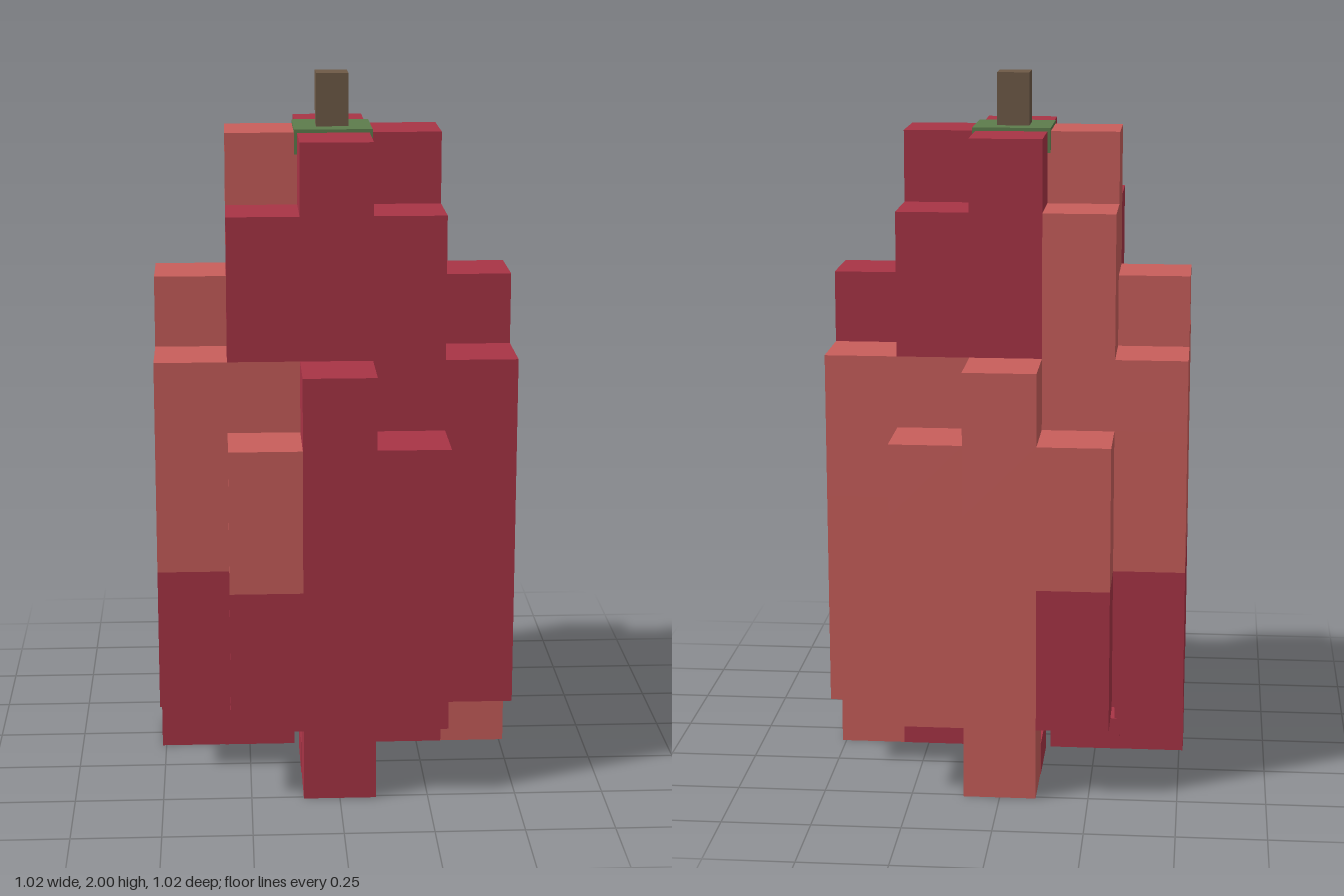
import * as THREE from 'three';
import { mergeGeometries } from 'three/addons/utils/BufferGeometryUtils.js';

const CELL = 0.2045;

// Column height in cells for each footprint position (corners are empty)
function columnTop(x, z) {
  const a = Math.max(Math.abs(x), Math.abs(z));
  const b = Math.min(Math.abs(x), Math.abs(z));
  if (a === 0) return 8;
  if (a === 1) return b === 0 ? 9 : 8;
  if (b === 2) return 0;
  // side lobes are one cell taller than the front and back lobes
  return (Math.abs(x) === 2 ? 7 : 6) - b;
}

function filled(x, y, z) {
  if (Math.abs(x) > 2 || Math.abs(z) > 2 || y < 0) return false;
  // only the middle of each lobe reaches the ground
  if (y === 0) return Math.abs(x) + Math.abs(z) === 2 && x * z === 0;
  return y < columnTop(x, z);
}

// Pale patches sit in a different quarter in each band of height
function isPale(x, y, z) {
  const backLeft = x >= 0 && z <= 0;
  if (y < 3) return backLeft;
  if (y < 6) return backLeft || x < 0;
  return x < 0 && z <= 0;
}

// Six outward unit faces: direction plus rotation of a plane facing +z
const FACES = [
  [1, 0, 0, 0, Math.PI / 2], [-1, 0, 0, 0, -Math.PI / 2],
  [0, 1, 0, -Math.PI / 2, 0], [0, -1, 0, Math.PI / 2, 0],
  [0, 0, 1, 0, 0], [0, 0, -1, 0, Math.PI],
];

// Exposed faces of all cells in one colour
function skinGeometry(pale) {
  const parts = [];
  for (let x = -2; x <= 2; x++)
    for (let z = -2; z <= 2; z++)
      for (let y = 0; y < 9; y++) {
        if (!filled(x, y, z) || isPale(x, y, z) !== pale) continue;
        for (const [dx, dy, dz, rx, ry] of FACES) {
          if (filled(x + dx, y + dy, z + dz)) continue;
          parts.push(new THREE.PlaneGeometry(CELL, CELL).rotateX(rx).rotateY(ry).translate(
            (x + dx / 2) * CELL, (y + 0.5 + dy / 2) * CELL, (z + dz / 2) * CELL));
        }
      }
  return mergeGeometries(parts);
}

function material(name, color) {
  const m = new THREE.MeshStandardMaterial({ color });
  m.name = name;
  return m;
}

export function createModel() {
  const red = material('deep red', 0xa83446);
  const pale = material('pale red', 0xc85e5b);
  const green = material('leaf green', 0x5d7c4c);
  const brown = material('stem brown', 0x6e5a47);

  const model = new THREE.Group();
  model.name = 'blockFruit';
  const add = (name, geometry, mat, x = 0, y = 0, z = 0) => {
    const mesh = new THREE.Mesh(geometry, mat);
    mesh.name = name;
    mesh.position.set(x, y, z);
    model.add(mesh);
  };

  // Fruit body
  add('redSkin', skinGeometry(false), red);
  add('paleSkin', skinGeometry(true), pale);

  // Low blocks reaching inward from the four feet
  const block = new THREE.BoxGeometry(0.207, 0.095, 0.207);
  for (const [x, z] of [[1, 0], [-1, 0], [0, 1], [0, -1]])
    add('footBlock', block, red, x * 0.22, 0.0475, z * 0.22);

  // Leaf cap and stem
  add('leafCap', new THREE.BoxGeometry(0.222, 0.07, 0.222), green, 0, 1.815, 0);
  add('stem', new THREE.BoxGeometry(0.092, 0.2, 0.092), brown, 0, 1.9, 0);
  return model;
}
